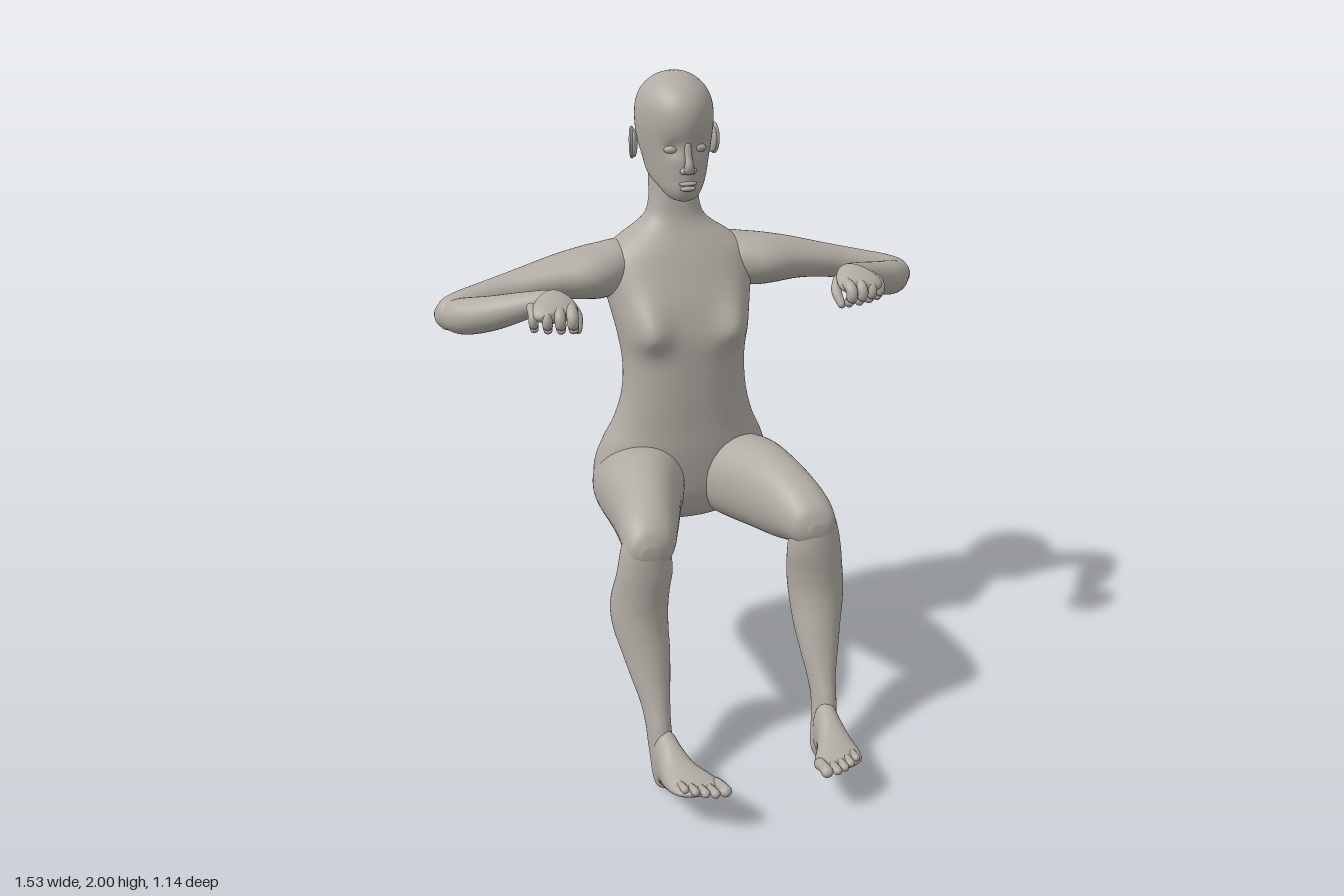
import * as THREE from 'three';

const skin = new THREE.MeshStandardMaterial({ color: 0xb0aba3 });
skin.name = 'warm grey';

// Smoothly resample rows of numbers with a Catmull-Rom spline
function resample(rows, steps) {
  const out = [];
  const at = (i) => rows[Math.min(Math.max(i, 0), rows.length - 1)];
  for (let i = 0; i < rows.length - 1; i++) {
    for (let s = 0; s < steps; s++) {
      const t = s / steps;
      out.push(rows[i].map((b, k) => {
        const a = at(i - 1)[k], c = at(i + 1)[k], d = at(i + 2)[k];
        return b + 0.5 * t * (c - a + t * (2 * a - 5 * b + 4 * c - d + t * (3 * (b - c) + d - a)));
      }));
    }
  }
  out.push(rows[rows.length - 1]);
  return out;
}

// Skin closed rings of points into a capped solid with outward faces
function skinRings(rings) {
  const n = rings[0].length, pos = [], idx = [];
  rings.forEach((ring) => ring.forEach((p) => pos.push(p.x, p.y, p.z)));
  for (let r = 0; r < rings.length - 1; r++) {
    for (let i = 0; i < n; i++) {
      const a = r * n + i, b = r * n + (i + 1) % n;
      idx.push(a, b, a + n, b, b + n, a + n);
    }
  }
  [0, rings.length - 1].forEach((r) => {
    const c = new THREE.Vector3();
    rings[r].forEach((p) => c.addScaledVector(p, 1 / n));
    const hub = pos.push(c.x, c.y, c.z) / 3 - 1;
    for (let i = 0; i < n; i++) {
      const a = r * n + i, b = r * n + (i + 1) % n;
      if (r === 0) idx.push(hub, b, a); else idx.push(hub, a, b);
    }
  });
  // Signed volume tells whether the winding must be flipped
  const v = (i) => new THREE.Vector3().fromArray(pos, idx[i] * 3);
  let volume = 0;
  for (let i = 0; i < idx.length; i += 3) volume += v(i).dot(v(i + 1).cross(v(i + 2)));
  if (volume < 0) idx.reverse();
  const g = new THREE.BufferGeometry();
  g.setAttribute('position', new THREE.Float32BufferAttribute(pos, 3));
  g.setIndex(idx);
  g.computeVertexNormals();
  return g;
}

// Loft along one axis; rows are [along, uMin, uMax, vMin, vMax]
const axes = {
  x: (t, u, v) => new THREE.Vector3(t, v, u),
  y: (t, u, v) => new THREE.Vector3(u, t, v),
  z: (t, u, v) => new THREE.Vector3(u, v, t),
};
function loft(axis, rows, { sides = 40, power = 1, shape = null } = {}) {
  const bend = (c) => Math.sign(c) * Math.abs(c) ** power;
  return skinRings(resample(rows, 5).map(([t, u0, u1, v0, v1]) =>
    Array.from({ length: sides }, (_, i) => {
      const a = (i / sides) * Math.PI * 2;
      const p = axes[axis](t, (u0 + u1) / 2 + bend(Math.cos(a)) * (u1 - u0) / 2,
        (v0 + v1) / 2 + bend(Math.sin(a)) * (v1 - v0) / 2);
      if (shape) shape(p, Math.sin(a));
      return p;
    })));
}

// Round-ended limb along a path; rows are [x, y, z, halfWidth, halfHeight]
function limb(rows, sides = 16) {
  const path = resample(rows, 5), last = path.length - 1;
  const point = (i) => new THREE.Vector3(...path[i].slice(0, 3));
  const rings = [];
  const addRing = (i, scale, push) => {
    const dir = point(Math.min(i + 1, last)).sub(point(Math.max(i - 1, 0))).normalize();
    const ref = Math.abs(dir.y) > 0.8 ? new THREE.Vector3(0, 0, 1) : new THREE.Vector3(0, 1, 0);
    if (dir.y < -0.8) ref.set(0, 0, 1);
    const side = ref.clone().cross(dir).normalize(), up = dir.clone().cross(side);
    const [, , , w, h] = path[i];
    rings.push(Array.from({ length: sides }, (_, k) => {
      const a = (k / sides) * Math.PI * 2;
      return point(i).addScaledVector(dir, push * Math.min(w, h))
        .addScaledVector(side, Math.cos(a) * w * scale).addScaledVector(up, Math.sin(a) * h * scale);
    }));
  };
  const caps = [0.15, 0.5, 0.85, 1.2];
  caps.forEach((a) => addRing(0, Math.sin(a), -Math.cos(a)));
  path.forEach((_, i) => addRing(i, 1, 0));
  caps.reverse().forEach((a) => addRing(last, Math.sin(a), Math.cos(a)));
  return skinRings(rings);
}

function ellipsoid(x, y, z, rx, ry, rz, turn = 0) {
  return new THREE.SphereGeometry(1, 24, 16).scale(rx, ry, rz).rotateY(turn).translate(x, y, z);
}

function mirrored(geometry) {
  const g = geometry.clone().scale(-1, 1, 1);
  g.setIndex(Array.from(g.index.array).reverse());
  g.computeVertexNormals();
  return g;
}

const bump = (d, width) => Math.exp(-((d / width) ** 2));

export function createModel() {
  const model = new THREE.Group();
  model.name = 'seatedMannequin';
  const add = (name, geometry) => {
    const mesh = new THREE.Mesh(geometry, skin);
    mesh.name = name;
    model.add(mesh);
  };
  const pair = (name, geometry) => {
    add('left' + name, geometry);
    add('right' + name, mirrored(geometry));
  };

  // Torso and neck: height, half width, back, front
  const torso = [
    [0.585, 0.06, -0.46, -0.36], [0.6, 0.16, -0.52, -0.3], [0.64, 0.235, -0.552, -0.26],
    [0.7, 0.278, -0.568, -0.235], [0.78, 0.283, -0.556, -0.225], [0.86, 0.258, -0.53, -0.22],
    [0.93, 0.225, -0.505, -0.22], [1.02, 0.2, -0.482, -0.218], [1.12, 0.193, -0.483, -0.218],
    [1.22, 0.205, -0.508, -0.222], [1.32, 0.225, -0.54, -0.25], [1.4, 0.24, -0.555, -0.285],
    [1.46, 0.225, -0.555, -0.315], [1.5, 0.178, -0.548, -0.338], [1.535, 0.125, -0.53, -0.358],
    [1.57, 0.09, -0.512, -0.372], [1.62, 0.077, -0.505, -0.38], [1.68, 0.075, -0.51, -0.39],
    [1.74, 0.065, -0.51, -0.4]];
  add('torso', loft('y', torso.map(([y, w, b, f]) => [y, -w, w, b, f]), {
    sides: 96, power: 0.9,
    shape: (p, v) => {
      const { x, y } = p;
      if (v > 0) {
        // Chest forms
        p.z += v * 0.062 * bump(Math.abs(x) - 0.15, 0.065) * bump(y - 1.24, y > 1.24 ? 0.09 : 0.05);
      } else {
        // Spine groove and seat cleft
        p.z -= v * (0.018 * bump(x, 0.035) * bump(y - 1.22, 0.28) + 0.06 * bump(x, 0.028) * bump(y - 0.65, 0.1));
      }
    },
  }));

  // Head: height, half width, back, front, with a narrower face and eye hollows
  const head = [
    [1.628, 0.015, -0.345, -0.315], [1.638, 0.042, -0.37, -0.3], [1.665, 0.066, -0.43, -0.288],
    [1.7, 0.088, -0.515, -0.286], [1.75, 0.1, -0.545, -0.284], [1.8, 0.112, -0.566, -0.282],
    [1.86, 0.118, -0.576, -0.272], [1.91, 0.114, -0.568, -0.28], [1.95, 0.097, -0.545, -0.308],
    [1.98, 0.066, -0.503, -0.352], [1.995, 0.034, -0.462, -0.39], [2, 0.008, -0.432, -0.418]];
  add('head', loft('y', head.map(([y, w, b, f]) => [y, -w, w, b, f]), {
    sides: 72,
    shape: (p, v) => {
      if (v > 0) {
        p.z -= 0.014 * v * bump(Math.abs(p.x) - 0.045, 0.026) * bump(p.y - 1.79, 0.024);
        p.x *= 1 - 0.1 * v;
      }
    },
  }));
  add('nose', limb([[0, 1.8, -0.287, 0.01, 0.01], [0, 1.77, -0.281, 0.011, 0.011],
    [0, 1.742, -0.273, 0.014, 0.013], [0, 1.728, -0.276, 0.017, 0.012]]));
  pair('Nostril', ellipsoid(0.015, 1.726, -0.283, 0.01, 0.01, 0.012));
  pair('Eyelid', ellipsoid(0.045, 1.787, -0.312, 0.021, 0.012, 0.013, 0.25));
  add('upperLip', ellipsoid(0, 1.687, -0.287, 0.028, 0.007, 0.011));
  add('lowerLip', ellipsoid(0, 1.672, -0.288, 0.024, 0.008, 0.011));
  pair('Ear', ellipsoid(0.122, 1.787, -0.44, 0.01, 0.042, 0.025, 0.35));
  pair('EarRim', new THREE.TorusGeometry(0.02, 0.006, 10, 24).scale(1, 1.9, 1)
    .rotateY(Math.PI / 2 + 0.4).translate(0.129, 1.79, -0.442));

  // Arms
  pair('UpperArm', loft('x', [
    [0.12, -0.5, -0.4, 1.4, 1.47], [0.17, -0.54, -0.35, 1.34, 1.495], [0.24, -0.545, -0.315, 1.325, 1.49],
    [0.3, -0.535, -0.308, 1.328, 1.482], [0.38, -0.512, -0.325, 1.335, 1.466], [0.46, -0.487, -0.338, 1.333, 1.446],
    [0.54, -0.46, -0.345, 1.323, 1.427], [0.62, -0.436, -0.335, 1.308, 1.41], [0.69, -0.42, -0.315, 1.29, 1.395],
    [0.735, -0.402, -0.312, 1.288, 1.378], [0.755, -0.37, -0.33, 1.315, 1.355]]));
  pair('Forearm', limb([
    [0.725, 1.332, -0.355, 0.038, 0.042], [0.68, 1.335, -0.315, 0.056, 0.054], [0.61, 1.355, -0.255, 0.055, 0.051],
    [0.53, 1.386, -0.195, 0.045, 0.041], [0.475, 1.41, -0.15, 0.036, 0.031], [0.455, 1.418, -0.125, 0.034, 0.028]], 32));

  // Hands with loosely curled fingers
  pair('Palm', loft('z', [
    [-0.155, 0.44, 0.47, 1.41, 1.432], [-0.13, 0.42, 0.49, 1.395, 1.447], [-0.1, 0.405, 0.512, 1.385, 1.448],
    [-0.065, 0.396, 0.53, 1.376, 1.438], [-0.04, 0.402, 0.528, 1.374, 1.424], [-0.025, 0.42, 0.51, 1.385, 1.41]], { sides: 28 }));
  for (let i = 0; i < 4; i++) {
    const x = 0.418 + i * 0.035, z = -0.005 - 0.004 * i * i, r = 0.017 - 0.001 * i;
    pair('Finger' + (i + 1), limb([[x, 1.41, z - 0.055, r, r], [x + 0.003, 1.403, z - 0.02, r, r],
      [x + 0.004, 1.38, z - 0.008, r, r], [x, 1.357, z - 0.022, r * 0.85, r * 0.85]]));
  }
  pair('Thumb', limb([[0.415, 1.405, -0.105, 0.018, 0.018], [0.397, 1.38, -0.075, 0.016, 0.016],
    [0.402, 1.348, -0.045, 0.012, 0.012]]));

  // Legs
  pair('Thigh', loft('z', [
    [-0.54, 0.1, 0.2, 0.65, 0.75], [-0.48, 0.05, 0.265, 0.6, 0.81], [-0.4, 0.02, 0.292, 0.585, 0.84],
    [-0.3, 0.02, 0.305, 0.592, 0.87], [-0.2, 0.045, 0.31, 0.605, 0.888], [-0.1, 0.085, 0.312, 0.618, 0.885],
    [0, 0.12, 0.318, 0.632, 0.87], [0.08, 0.15, 0.325, 0.65, 0.842], [0.13, 0.17, 0.325, 0.66, 0.815],
    [0.165, 0.193, 0.315, 0.672, 0.785], [0.183, 0.235, 0.285, 0.705, 0.745]], { sides: 48, power: 0.95 }));
  pair('Shin', loft('y', [
    [0.8, 0.24, 0.28, 0.1, 0.14], [0.77, 0.205, 0.315, 0.075, 0.166], [0.72, 0.19, 0.335, 0.065, 0.181],
    [0.65, 0.182, 0.348, 0.062, 0.186], [0.58, 0.188, 0.36, 0.03, 0.185], [0.52, 0.193, 0.366, 0.02, 0.187],
    [0.46, 0.197, 0.36, 0.038, 0.198], [0.4, 0.2, 0.345, 0.07, 0.215], [0.33, 0.209, 0.327, 0.112, 0.238],
    [0.26, 0.22, 0.308, 0.15, 0.265], [0.2, 0.226, 0.3, 0.178, 0.29], [0.15, 0.224, 0.298, 0.198, 0.3],
    [0.1, 0.218, 0.295, 0.218, 0.3], [0.05, 0.212, 0.292, 0.235, 0.305], [0.015, 0.222, 0.284, 0.252, 0.3],
    [0, 0.24, 0.268, 0.27, 0.285]], { sides: 48 }));

  // Feet and toes
  pair('Foot', loft('z', [
    [0.24, 0.235, 0.275, 0.06, 0.11], [0.27, 0.217, 0.292, 0.012, 0.19], [0.32, 0.208, 0.293, 0.022, 0.184],
    [0.38, 0.188, 0.297, 0.05, 0.158], [0.44, 0.158, 0.297, 0.08, 0.147], [0.48, 0.144, 0.29, 0.098, 0.142],
    [0.505, 0.146, 0.276, 0.108, 0.139], [0.52, 0.165, 0.25, 0.116, 0.134]], { power: 0.9 }));
  [[0.156, 0.546, 0.018], [0.187, 0.55, 0.0135], [0.213, 0.54, 0.013], [0.238, 0.525, 0.0125], [0.263, 0.504, 0.012]]
    .forEach(([x, z, r], i) => pair('Toe' + (i + 1), limb([[x + 0.004, 0.12, z - 0.07, r, r],
      [x, 0.135, z - 0.025, r * 0.9, r * 0.9], [x - 0.002, 0.138, z, r, r * 0.95]])));
  return model;
}
